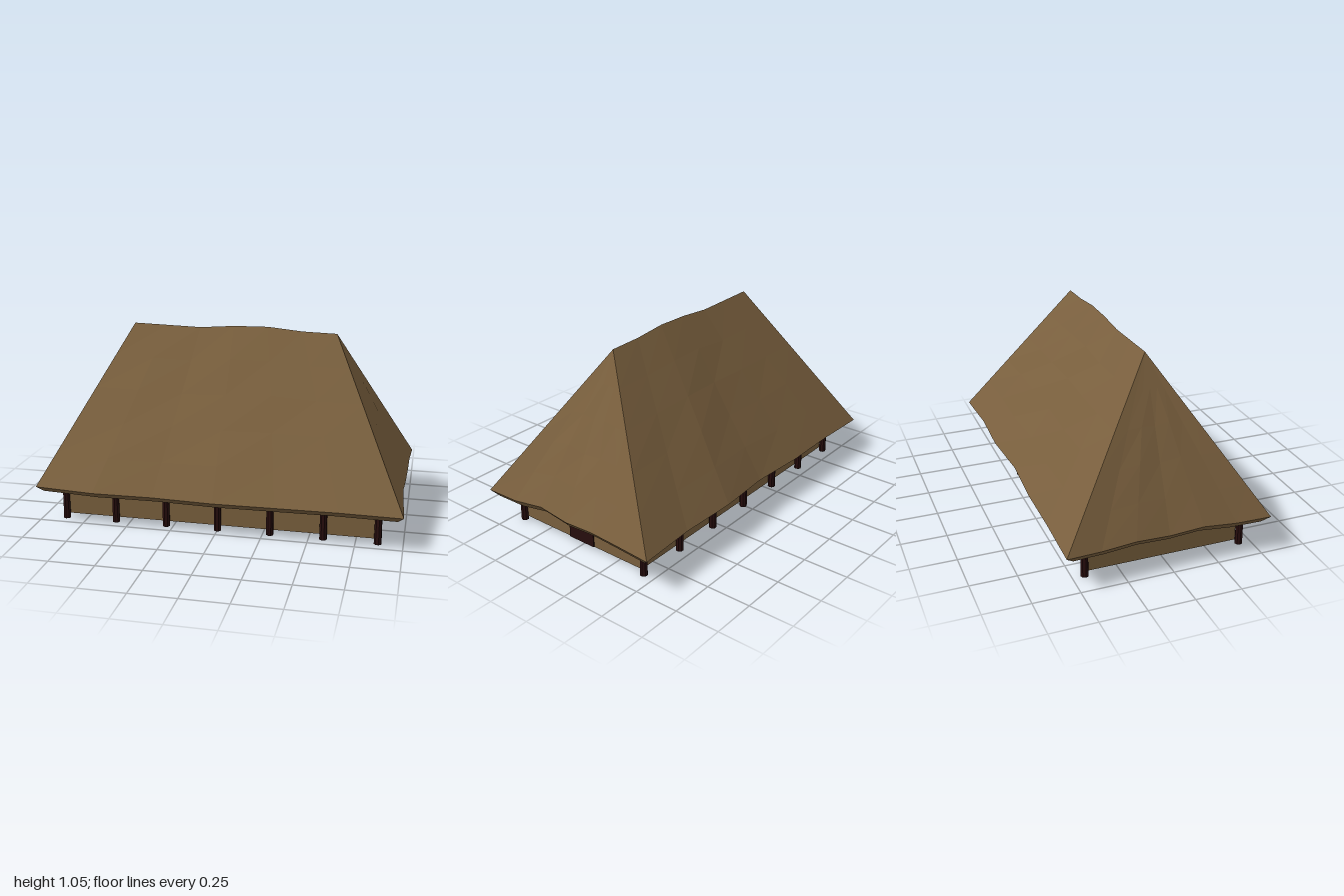
import * as THREE from 'three';

const straw = new THREE.MeshStandardMaterial({ color: 0x7a603e, flatShading: true });
straw.name = 'straw brown';
const timber = new THREE.MeshStandardMaterial({ color: 0x270d0d, flatShading: true });
timber.name = 'dark timber';

const V = (x, y, z) => new THREE.Vector3(x, y, z);

// Uneven ridge heights and eave lines, running from -x to +x or from +z to -z
const ridge = [1.04, 1.035, 1.03, 1.045, 1.048, 1.03, 1.025]
  .map((y, i) => V(-0.575 + i * 1.15 / 6, y, 0));
const frontEave = [0.54, 0.565, 0.553, 0.565, 0.555, 0.56, 0.55]
  .map((z, i) => V(-1 + i / 3, [0.21, 0.207, 0.205, 0.203, 0.202, 0.207, 0.2][i], z));
const backEave = [0.57, 0.565, 0.56, 0.545, 0.57, 0.555, 0.57]
  .map((z, i) => V(-1 + i / 3, [0.205, 0.21, 0.2, 0.205, 0.21, 0.204, 0.2][i], -z));
const endEave = (a, b, xs, ys) => [a,
  ...xs.map((x, i) => V(x, ys[i], THREE.MathUtils.lerp(a.z, b.z, (i + 1) / 6))), b];
const leftEave = endEave(frontEave[6], backEave[6],
  [0.99, 0.98, 0.985, 0.99, 0.99], [0.195, 0.22, 0.2, 0.213, 0.203]);
const rightEave = endEave(backEave[0], frontEave[0],
  [-0.985, -0.98, -0.97, -0.975, -0.98], [0.2, 0.212, 0.2, 0.215, 0.2]);

// Each side: eave points counter-clockwise seen from above, with matching ridge points
const sides = [
  ['front', frontEave, ridge],
  ['left', leftEave, leftEave.map(() => ridge[6])],
  ['back', [...backEave].reverse(), [...ridge].reverse()],
  ['right', rightEave, rightEave.map(() => ridge[0])],
];

// Faces between successive rows of points; rows run upward on the outer face
function skin(rows) {
  const pos = [];
  const tri = (...p) => p.forEach(v => pos.push(v.x, v.y, v.z));
  for (let r = 0; r + 1 < rows.length; r++) {
    const lo = rows[r], hi = rows[r + 1];
    for (let i = 0; i + 1 < lo.length; i++) {
      tri(lo[i], lo[i + 1], hi[i + 1]);
      if (hi[i].distanceTo(hi[i + 1]) > 1e-5) tri(lo[i], hi[i + 1], hi[i]);
    }
  }
  const g = new THREE.BufferGeometry();
  g.setAttribute('position', new THREE.Float32BufferAttribute(pos, 3));
  g.computeVertexNormals();
  return g;
}

function add(group, name, geometry, material, x = 0, y = 0, z = 0) {
  const m = new THREE.Mesh(geometry, material);
  m.name = name;
  m.position.set(x, y, z);
  group.add(m);
  return m;
}

export function createModel() {
  const model = new THREE.Group();
  model.name = 'thatchedLonghouse';

  // Hipped thatch with a thick, tucked-under eave
  const roof = new THREE.Group();
  roof.name = 'thatchedRoof';
  model.add(roof);
  sides.forEach(([name, eave, top]) => {
    const rows = [];
    for (let r = 0; r <= 5; r++) {
      rows.push(eave.map((p, i) => {
        const q = p.clone().lerp(top[i], r / 5);
        // gentle unevenness, fading to nothing at eave, ridge and hips
        const k = Math.sin(Math.PI * r / 5) * Math.sin(Math.PI * i / 6);
        q.y += 0.006 * k * Math.sin(i * 2.3 + r * 1.7);
        return q;
      }));
    }
    const lip = eave.map(p => V(p.x * 0.97, p.y - 0.036, p.z * 0.925));
    const inner = lip.map((p, i) => p.clone().lerp(V(top[i].x, top[i].y - 0.08, 0), 0.35));
    add(roof, name + 'Slope', skin(rows), straw);
    add(roof, name + 'EaveEdge', skin([lip, eave]), straw);
    add(roof, name + 'Underside', skin([inner, lip]), straw);
  });

  // Walls and floor as one closed block
  add(model, 'walls', new THREE.BoxGeometry(1.72, 0.3, 0.83), straw, 0, 0.17, 0);

  // Door in the gable end
  add(model, 'door', new THREE.BoxGeometry(0.008, 0.24, 0.172), timber, 0.862, 0.14, 0);

  // Seven posts along each long wall
  const postGeometry = new THREE.CylinderGeometry(0.018, 0.021, 0.29, 8);
  for (const side of [1, -1]) {
    for (let i = 0; i < 7; i++) {
      const post = add(model, (side > 0 ? 'front' : 'back') + 'Post' + (i + 1),
        postGeometry, timber, -0.867 + i * 0.289, 0.145, side * 0.434);
      post.rotation.y = i * 0.7;
    }
  }
  return model;
}
